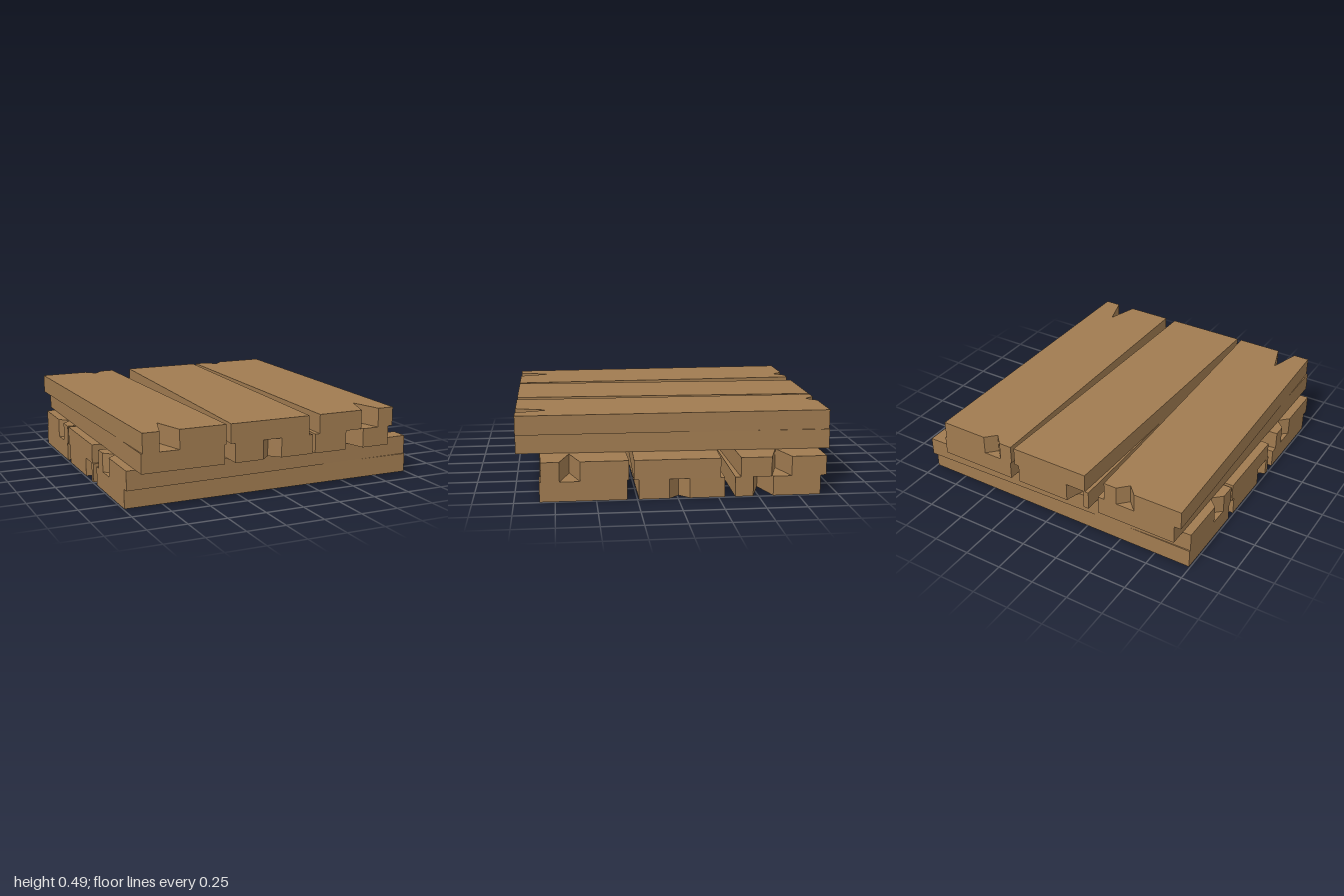
import * as THREE from 'three';

const H = 0.123; // plank thickness
const L = 0.992; // half plank length

// Plank outline: left/right edges at the front and back ends,
// plus optional V splits [centre, depth, half width] in each end.
function plank(material, { front, back, frontSplit, backSplit }) {
  const pts = [[front[0], L]];
  if (frontSplit) {
    const [c, d, w] = frontSplit;
    pts.push([c - w, L], [c, L - d], [c + w, L]);
  }
  pts.push([front[1], L], [back[1], -L]);
  if (backSplit) {
    const [c, d, w] = backSplit;
    pts.push([c + w, -L], [c, -L + d], [c - w, -L]);
  }
  pts.push([back[0], -L]);
  const shape = new THREE.Shape(pts.map(([x, z]) => new THREE.Vector2(x, -z)));
  const geo = new THREE.ExtrudeGeometry(shape, { depth: H, bevelEnabled: false });
  geo.rotateX(-Math.PI / 2);
  return new THREE.Mesh(geo, material);
}

export function createModel() {
  const wood = new THREE.MeshStandardMaterial({ color: 0xa07b50 });
  wood.name = 'wood';
  const big = 0.205, small = 0.065, w = 0.063;

  // Layers from the ground up; the lower two are turned to run sideways.
  const layers = [
    { name: 'bottomLayer', turned: true, planks: [
      { front: [-0.845, -0.31], back: [-0.845, -0.31] },
      { front: [-0.24, 0.29], back: [-0.24, 0.29], frontSplit: [0.01, small, w], backSplit: [-0.14, big, w] },
      { front: [0.355, 0.89], back: [0.355, 0.89], frontSplit: [0.53, big, w] },
    ] },
    { name: 'lowerMiddleLayer', turned: true, planks: [
      { front: [-0.835, -0.3], back: [-0.89, -0.355], frontSplit: [-0.66, big, w], backSplit: [-0.505, small, w] },
      { front: [-0.27, 0.265], back: [-0.22, 0.32] },
      { front: [0.39, 0.925], back: [0.34, 0.88], frontSplit: [0.645, big, w], backSplit: [0.505, small, w] },
    ] },
    { name: 'upperMiddleLayer', turned: false, planks: [
      { front: [-0.935, -0.4], back: [-0.935, -0.4] },
      { front: [-0.33, 0.2], back: [-0.33, 0.2], frontSplit: [-0.08, small, w], backSplit: [-0.23, big, w] },
      { front: [0.22, 0.755], back: [0.265, 0.8], frontSplit: [0.505, big, w] },
    ] },
    { name: 'topLayer', turned: false, planks: [
      { front: [-0.925, -0.39], back: [-0.98, -0.445], frontSplit: [-0.755, big, w], backSplit: [-0.595, small, w] },
      { front: [-0.36, 0.175], back: [-0.305, 0.23] },
      { front: [0.25, 0.785], back: [0.255, 0.79], frontSplit: [0.615, big, w], backSplit: [0.405, small, w] },
    ] },
  ];

  const model = new THREE.Group();
  model.name = 'plankStack';
  layers.forEach(({ name, turned, planks }, i) => {
    const layer = new THREE.Group();
    layer.name = name;
    layer.position.y = i * H;
    if (turned) layer.rotation.y = Math.PI / 2;
    planks.forEach((spec, j) => {
      const mesh = plank(wood, spec);
      mesh.name = ['leftPlank', 'middlePlank', 'rightPlank'][turned ? j : 2 - j];
      layer.add(mesh);
    });
    model.add(layer);
  });
  return model;
}
